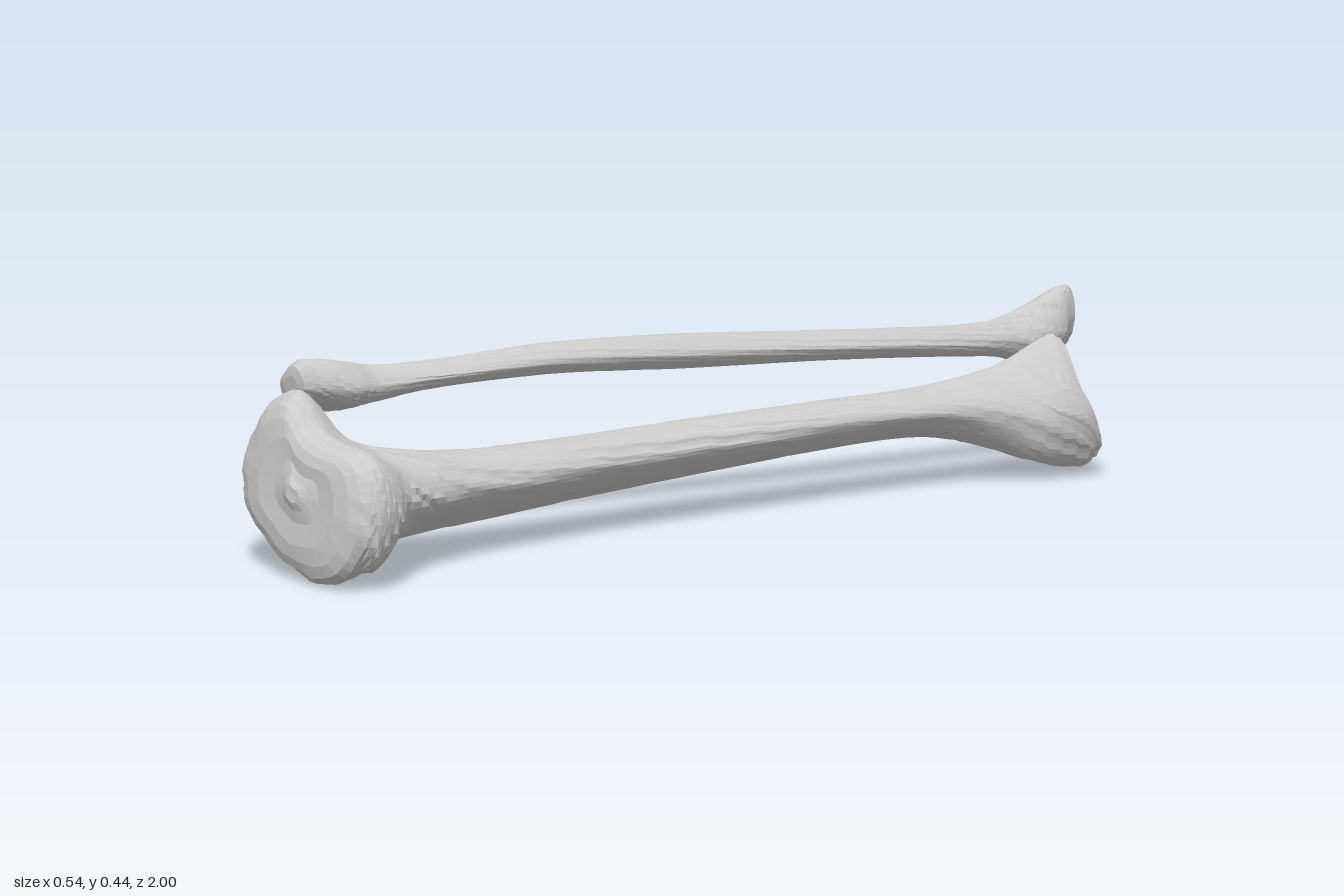
import * as THREE from 'three';

const AROUND = 48, STEPS = 8;

// small seeded hash, -1..1
const hash = (a, b) => {
  const s = Math.sin(a * 127.1 + b * 311.7) * 43758.5453;
  return (s - Math.floor(s)) * 2 - 1;
};

// smooth closed outline, counter-clockwise from the left, scaled to fill the square -1..1
function outline(pts) {
  const curve = new THREE.CatmullRomCurve3(pts.map(([x, y]) => new THREE.Vector3(x, y, 0)), true);
  const p = curve.getPoints(AROUND).slice(0, AROUND);
  const box = new THREE.Box3().setFromPoints(p);
  const c = box.getCenter(new THREE.Vector3()), h = box.getSize(new THREE.Vector3()).multiplyScalar(0.5);
  return p.map(v => [(v.x - c.x) / h.x, (v.y - c.y) / h.y]);
}

// loft from +z to -z; station: [z, x0, x1, y0, y1, outline index]
// caps are rings [scale, z offset]; lean functions shift the two end faces along z by height
function loftBone(name, stations, outlines, { frontCap, backCap, frontLean, backLean, rough }) {
  const spline = new THREE.CubicInterpolant(stations.map((s, i) => i), stations.flat(), 6);
  const last = stations.length - 1;
  const rings = [];
  for (let i = 0; i <= last * STEPS; i++) rings.push([...spline.evaluate(i / STEPS), 1]);
  const cap = (ring, list) => list.map(([s, dz]) => [ring[0] + dz, ...ring.slice(1, 6), s]);
  const all = [...cap(rings[0], frontCap).reverse(), ...rings, ...cap(rings[last * STEPS], backCap)];

  const pos = [], index = [];
  all.forEach(([z, x0, x1, y0, y1, kind, scale], i) => {
    const k = THREE.MathUtils.clamp(kind, 0, outlines.length - 1);
    const a = Math.min(Math.floor(k), outlines.length - 2);
    const front = THREE.MathUtils.smoothstep(z, 0.8, 0.94);
    const back = THREE.MathUtils.smoothstep(-z, 0.74, 0.86);
    for (let j = 0; j < AROUND; j++) {
      // long streaks running slightly askew along the shaft
      const streak = hash(Math.floor((j + i * 0.3) / 2) % 24, Math.floor(i / 5 + j * 0.37));
      const r = scale * (1 + rough * streak);
      const u = r * THREE.MathUtils.lerp(outlines[a][j][0], outlines[a + 1][j][0], k - a);
      const v = r * THREE.MathUtils.lerp(outlines[a][j][1], outlines[a + 1][j][1], k - a);
      pos.push((x0 + x1 + u * (x1 - x0)) / 2, (y0 + y1 + v * (y1 - y0)) / 2,
        z + front * frontLean(v) + back * backLean(v));
    }
  });
  for (let i = 0; i < all.length - 1; i++) for (let j = 0; j < AROUND; j++) {
    const a = i * AROUND + j, b = i * AROUND + (j + 1) % AROUND, c = a + AROUND, d = b + AROUND;
    index.push(a, c, b, b, c, d);
  }
  const geo = new THREE.BufferGeometry();
  geo.setAttribute('position', new THREE.Float32BufferAttribute(pos, 3));
  geo.setIndex(index);
  geo.computeVertexNormals();
  const mesh = new THREE.Mesh(geo, new THREE.MeshStandardMaterial({ color: 0xcccccc, flatShading: true }));
  mesh.name = name;
  return mesh;
}

export function createModel() {
  const group = new THREE.Group();
  group.name = 'lowerLegBones';

  // shin bone: two-lobed plateau, crested three-sided shaft, stepped ankle end
  const plateau = outline([[-1, .05], [-.89, -.37], [-.5, -.74], [.1, -1], [.65, -.87], [.95, -.47],
    [1, .05], [.79, .47], [.24, .56], [-.03, .66], [-.36, .97], [-.75, .74]]);
  const shaft = outline([[-1, -.35], [-.95, -.8], [-.65, -1], [.3, -.5], [1, .25], [.75, .8], [0, 1], [-.75, .45]]);
  const ankle = outline([[-1, 0], [-.8, -.7], [.05, -1], [.75, -.75], [1, -.15], [.75, .3], [-.25, 1], [-.75, .4]]);
  group.add(loftBone('shinBone', [
    [.955, -.262, .16, .006, .37, 0],
    [.92, -.27, .166, .002, .375, 0],
    [.87, -.262, .152, .012, .34, .05],
    [.8, -.235, .11, .025, .28, .45],
    [.7, -.185, .078, .03, .245, .85],
    [.55, -.135, .06, .043, .222, 1],
    [.3, -.09, .067, .063, .215, 1],
    [0, -.048, .095, .08, .215, 1],
    [-.3, .008, .137, .1, .217, 1],
    [-.55, .055, .176, .108, .22, 1.3],
    [-.7, .08, .215, .07, .24, 1.7],
    [-.79, .092, .25, .032, .27, 2],
    [-.86, .105, .268, .015, .295, 2],
    [-.89, .115, .266, .022, .29, 2],
  ], [plateau, shaft, ankle], {
    frontCap: [[.93, .016], [.8, .027], [.6, .033], [.35, .03], [.2, .036], [.1, .044], [0, .042]],
    backCap: [[.88, -.006], [.6, .004], [.3, .01], [0, .012]],
    frontLean: v => -.016 * v,
    backLean: v => .027 * THREE.MathUtils.clamp(2 * (v + .2), -1, 1),
    rough: .025,
  }));

  // calf bone: knobbly head, thin rod, flared ankle end
  const head = outline([[-1, -.2], [-.65, -.95], [-.1, -.75], [.6, -.4], [1, .1], [.7, .85], [.3, 1], [-.6, .45]]);
  const rod = outline([[-1, 0], [0, -1], [1, 0], [0, 1]]);
  const tip = outline([[-1, -.2], [-.7, -.8], [0, -1], [.7, -.75], [1, -.1], [.75, .6], [.25, 1], [-.6, .4]]);
  group.add(loftBone('calfBone', [
    [.875, -.24, -.127, .323, .436, 0],
    [.83, -.25, -.11, .308, .432, 0],
    [.77, -.22, -.1, .306, .418, .35],
    [.7, -.188, -.105, .322, .402, .8],
    [.55, -.155, -.08, .338, .398, 1],
    [.3, -.11, -.036, .336, .404, 1],
    [0, -.068, .01, .312, .386, 1],
    [-.4, -.014, .065, .282, .346, 1],
    [-.7, .022, .092, .25, .318, 1.3],
    [-.8, .01, .102, .235, .322, 1.7],
    [-.88, -.022, .112, .21, .342, 2],
    [-.94, -.022, .102, .203, .36, 2],
    [-.975, -.006, .08, .22, .363, 2],
  ], [head, rod, tip], {
    frontCap: [[.75, .015], [.4, .02], [0, .02]],
    backCap: [[.85, -.014], [.5, -.02], [0, -.022]],
    frontLean: v => .014 * v,
    backLean: v => -.01 * v,
    rough: .03,
  }));

  return group;
}
